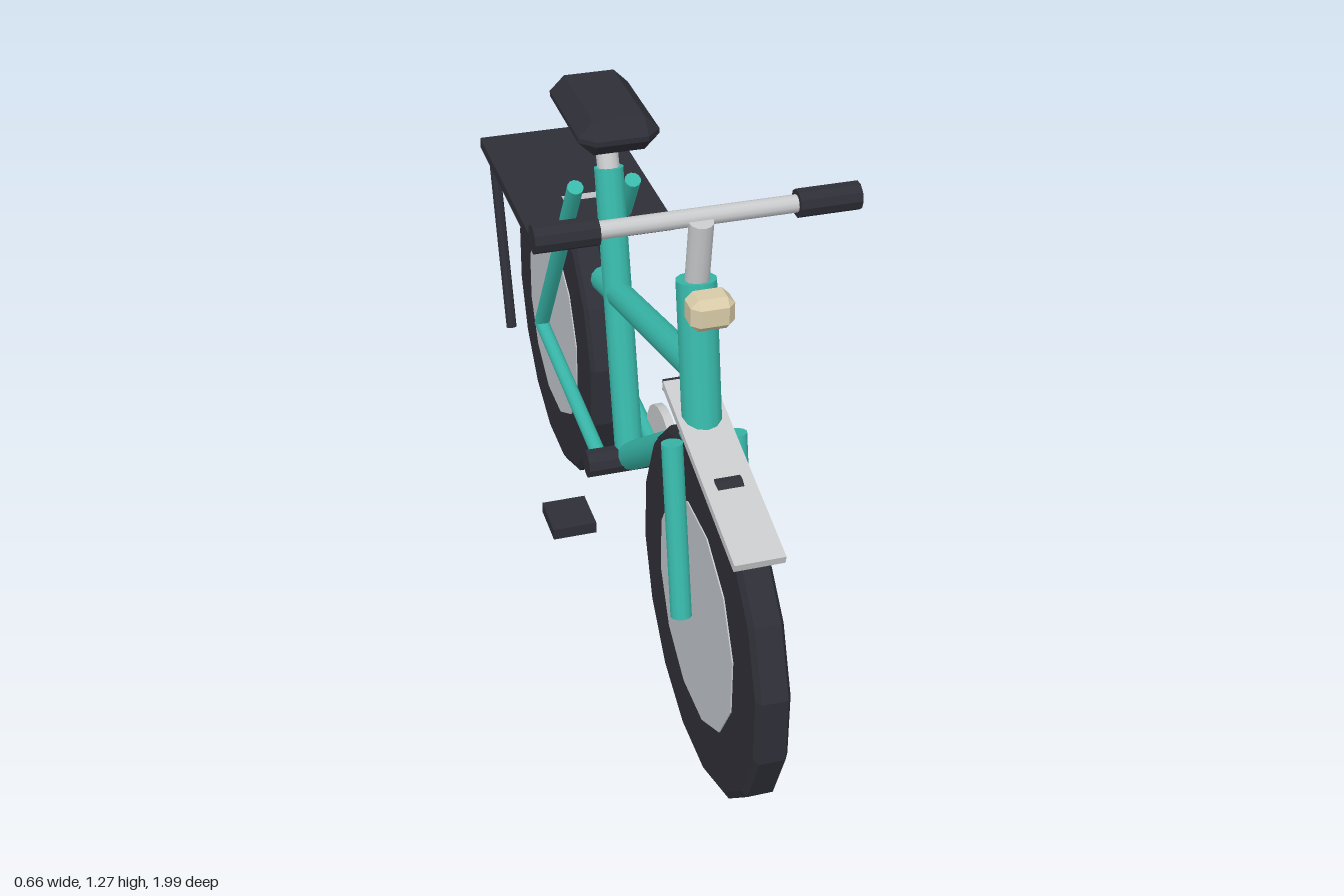
import * as THREE from 'three';
import { ConvexGeometry } from 'three/addons/geometries/ConvexGeometry.js';

const mat = (name, color, flat = false) => {
  const m = new THREE.MeshStandardMaterial({ color, flatShading: flat });
  m.name = name;
  return m;
};

export function createModel() {
  const bike = new THREE.Group();
  bike.name = 'bicycle';

  const teal = mat('teal paint', 0x38b8aa);
  const dark = mat('dark rubber', 0x2e2e37, true);
  const metal = mat('light metal', 0xc9cacc);
  const discGrey = mat('wheel disc grey', 0xbfc3ca, true);
  const cream = mat('lamp cream', 0xd8cba8, true);
  const red = mat('tail light red', 0xb52020);

  const add = (name, geometry, material, x = 0, y = 0, z = 0) => {
    const mesh = new THREE.Mesh(geometry, material);
    mesh.name = name;
    mesh.position.set(x, y, z);
    bike.add(mesh);
    return mesh;
  };

  // Round tube between two points
  const tube = (name, a, b, r, material, sides = 12) => {
    const p = new THREE.Vector3(...a), q = new THREE.Vector3(...b);
    const dir = q.clone().sub(p);
    const mesh = add(name, new THREE.CylinderGeometry(r, r, dir.length(), sides), material);
    mesh.position.copy(p).add(q).multiplyScalar(0.5);
    mesh.quaternion.setFromUnitVectors(new THREE.Vector3(0, 1, 0), dir.normalize());
    return mesh;
  };

  const box = (name, w, h, d, material, x, y, z) =>
    add(name, new THREE.BoxGeometry(w, h, d), material, x, y, z);

  // Box with all edges bevelled by c
  const bevelBox = (w, h, d, c) => {
    const pts = [];
    for (const sx of [-1, 1]) for (const sy of [-1, 1]) for (const sz of [-1, 1])
      for (let k = 0; k < 3; k++) pts.push(new THREE.Vector3(
        sx * (w / 2 - (k === 0 ? 0 : c)),
        sy * (h / 2 - (k === 1 ? 0 : c)),
        sz * (d / 2 - (k === 2 ? 0 : c))));
    return new ConvexGeometry(pts);
  };

  // Wheels: chamfered tyre with a solid disc
  const axleY = 0.387, axleZ = 0.61;
  const profile = [[0.2, -0.036], [0.379, -0.036], [0.394, -0.027], [0.394, 0.027], [0.379, 0.036], [0.2, 0.036]]
    .map(([r, y]) => new THREE.Vector2(r, y));
  const tyreGeo = new THREE.LatheGeometry(profile, 16).rotateY(Math.PI / 16).rotateZ(Math.PI / 2);
  const discGeo = new THREE.CylinderGeometry(0.25, 0.25, 0.078, 12).rotateY(Math.PI / 12).rotateZ(Math.PI / 2);
  for (const [end, z] of [['front', axleZ], ['rear', -axleZ]]) {
    add(end + 'Tyre', tyreGeo, dark, 0, axleY, z);
    add(end + 'WheelDisc', discGeo, discGrey, 0, axleY, z);
  }

  // Frame
  const crankY = 0.35, crankZ = -0.022;
  tube('headTube', [0, 0.77, 0.518], [0, 1.1, 0.457], 0.042, teal);
  tube('topTube', [0, 0.9, 0.475], [0, 0.71, -0.245], 0.031, teal);
  tube('downTube', [0, 0.755, 0.505], [0, crankY, crankZ], 0.034, teal);
  tube('seatTube', [0, crankY, crankZ], [0, 1.03, -0.19], 0.034, teal);
  for (const [side, s] of [['left', 1], ['right', -1]]) {
    const x = s * 0.068;
    tube(side + 'ForkLeg', [x, 0.77, 0.53], [x, 0.387, axleZ], 0.023, teal);
    tube(side + 'SeatStay', [x, 0.968, -0.23], [x, 0.387, -axleZ], 0.019, teal);
    tube(side + 'ChainStay', [x, crankY, crankZ], [x, 0.387, -axleZ], 0.018, teal);
    tube(side + 'RackLeg', [s * 0.148, 0.82, -0.75], [s * 0.148, 0.387, -axleZ], 0.013, dark, 8);
    tube(side + 'Grip', [s * 0.2, 1.24, 0.463], [s * 0.328, 1.24, 0.463], 0.029, dark, 10);
    // Left pedal is up, right pedal is down
    box(side + 'Pedal', 0.104, 0.028, 0.112, dark, s * 0.149, crankY + s * 0.15, crankZ);
  }

  // Steering
  tube('stem', [0, 1.08, 0.46], [0, 1.24, 0.483], 0.025, metal);
  tube('handlebar', [-0.21, 1.24, 0.463], [0.21, 1.24, 0.463], 0.018, metal);
  add('headlight', bevelBox(0.09, 0.07, 0.07, 0.016), cream, 0, 1.08, 0.545);

  // Saddle
  tube('seatPost', [0, 1.01, -0.185], [0, 1.13, -0.232], 0.026, metal);
  add('saddle', bevelBox(0.184, 0.08, 0.322, 0.034), dark, 0, 1.148, -0.23);

  // Drive
  tube('bottomBracket', [-0.105, crankY - 0.002, crankZ], [0.102, crankY - 0.002, crankZ], 0.034, dark, 10);
  tube('chainring', [0.075, crankY, crankZ], [0.096, crankY, crankZ], 0.113, metal, 18);

  // Mudguards: flat tilted plates
  box('frontMudguard', 0.104, 0.018, 0.486, metal, 0, 0.772, 0.645).rotation.x = 0.25;
  box('rearMudguard', 0.104, 0.018, 0.57, metal, 0, 0.776, -0.682).rotation.x = -0.22;

  // Rear carrier
  box('rackPlate', 0.342, 0.026, 0.552, dark, 0, 0.828, -0.52);
  box('tailLight', 0.074, 0.044, 0.034, red, 0, 0.793, -0.806);

  return bike;
}
